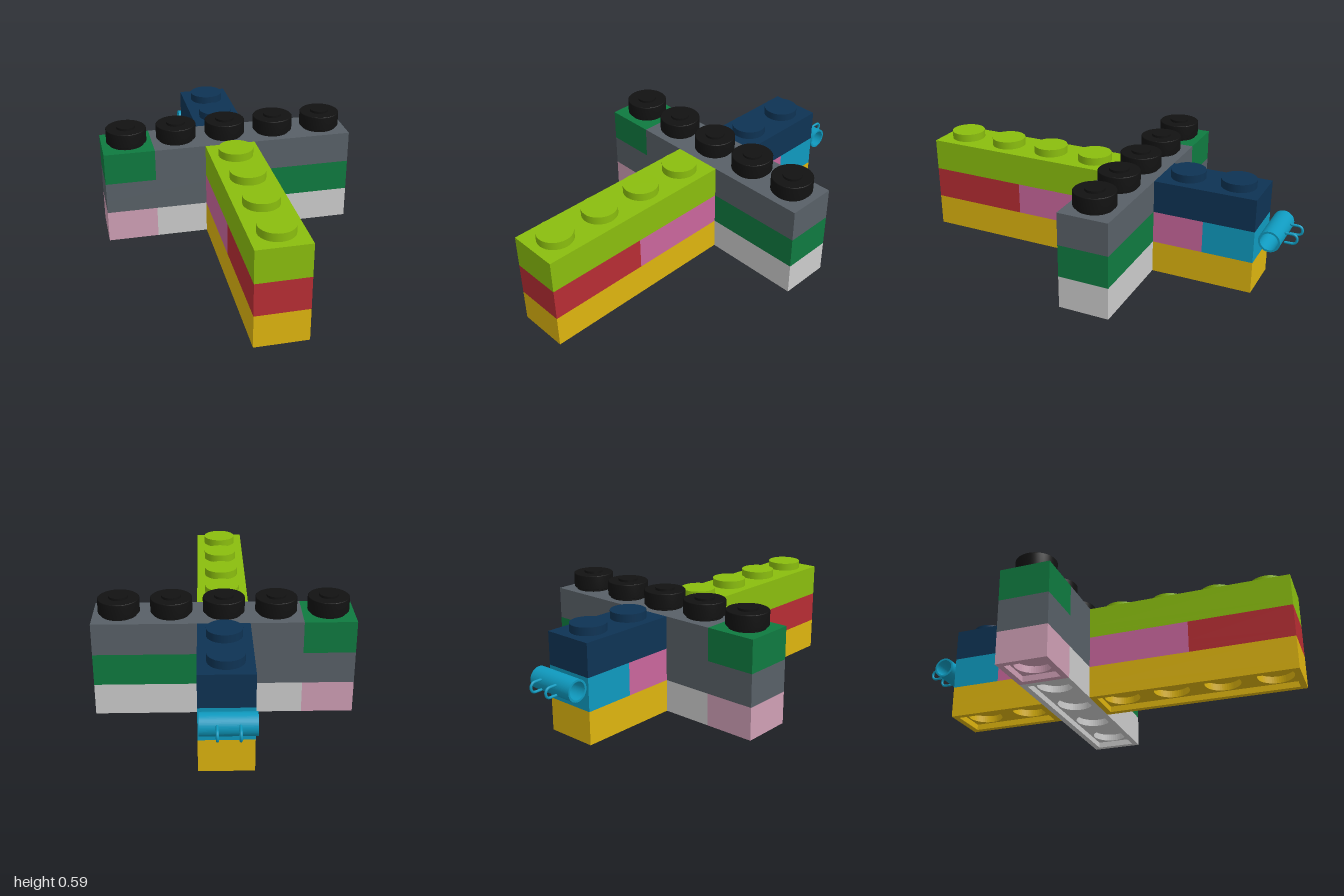
import * as THREE from 'three';

const U = 0.2575;   // stud pitch
const H = 0.164;    // brick height
const CX = 0.003;   // centre of the long arm
const CZ = -0.165;  // centre of the cross arm
const STUD_R = 0.087, STUD_H = 0.04;
const RIM = 0.03, SOCKET = 0.035;

const COLORS = {
  lime: 0x8abd0e, red: 0xb72d33, yellow: 0xddb40f, navy: 0x0e3354, slate: 0x586067, green: 0x0f7a40,
  pink: 0xc9669c, rose: 0xcf9fb5, pale: 0xd0cfcd, cyan: 0x0f9abf, black: 0x121212,
};
const materials = {};
for (const [name, color] of Object.entries(COLORS)) {
  materials[name] = new THREE.MeshStandardMaterial({ color });
}

function add(parent, name, geometry, color, x = 0, y = 0, z = 0) {
  const mesh = new THREE.Mesh(geometry, materials[color]);
  mesh.name = name;
  mesh.position.set(x, y, z);
  parent.add(mesh);
  return mesh;
}

function rect(path, w, d) {
  path.moveTo(-w / 2, -d / 2).lineTo(w / 2, -d / 2).lineTo(w / 2, d / 2).lineTo(-w / 2, d / 2);
  path.closePath();
  return path;
}

// Horizontal slab with cut-outs, standing on y = 0
function slab(w, d, holes, height) {
  const shape = rect(new THREE.Shape(), w, d);
  shape.holes.push(...holes);
  const geometry = new THREE.ExtrudeGeometry(shape, { depth: height, bevelEnabled: false, curveSegments: 24 });
  return geometry.rotateX(-Math.PI / 2);
}

// Brick n studs long: rim, ceiling with round sockets, solid top and studs
function brick(name, n, color) {
  const group = new THREE.Group();
  group.name = name;
  const w = n * U, offsets = [];
  for (let i = 0; i < n; i++) offsets.push((i - (n - 1) / 2) * U);

  const tray = rect(new THREE.Path(), w - 2 * RIM, U - 2 * RIM);
  const sockets = offsets.map(x => new THREE.Path().absarc(x, 0, STUD_R + 0.002, 0, Math.PI * 2, true));
  add(group, 'rim', slab(w, U, [tray], RIM), color);
  add(group, 'socketPlate', slab(w, U, sockets, SOCKET), color, 0, RIM);
  const top = H - RIM - SOCKET;
  add(group, 'body', new THREE.BoxGeometry(w, top, U), color, 0, H - top / 2);
  for (const x of offsets) {
    add(group, 'stud', new THREE.CylinderGeometry(STUD_R, STUD_R, STUD_H, 32), color, x, H + STUD_H / 2);
  }
  return group;
}

export function createModel() {
  const model = new THREE.Group();
  model.name = 'brickCross';

  // Cross arm, five studs wide: [layer, first stud, length, colour]
  const crossArm = [
    [0, 0, 1, 'rose'], [0, 1, 4, 'pale'],
    [1, 0, 3, 'slate'], [1, 3, 2, 'green'],
    [2, 0, 1, 'green'], [2, 1, 4, 'slate'],
  ];
  for (const [layer, start, n, color] of crossArm) {
    const b = brick('crossBrick', n, color);
    b.position.set((start + n / 2 - 2.5) * U, layer * H, CZ);
    model.add(b);
  }

  // Long arm, counted in studs forward from the centre of the cross arm
  const longArm = [
    [0, 0.5, 4, 'yellow'], [1, 0.5, 2, 'pink'], [1, 2.5, 2, 'red'], [2, 0.5, 4, 'lime'],
    [0, -2.5, 2, 'yellow'], [1, -1.5, 1, 'pink'], [1, -2.5, 1, 'cyan'], [2, -2.5, 2, 'navy'],
  ];
  for (const [layer, start, n, color] of longArm) {
    const b = brick(start > 0 ? 'frontBrick' : 'backBrick', n, color);
    b.position.set(CX, layer * H, CZ + (start + n / 2) * U);
    b.rotation.y = Math.PI / 2;
    model.add(b);
  }

  // Round black caps on the cross arm studs, each with a low raised centre
  const capProfile = [[0, 0.012], [0.1, 0.012], [0.103, 0.015], [0.103, 0.083], [0.1, 0.086], [0, 0.086]];
  for (let i = 0; i < 5; i++) {
    const cap = new THREE.Group();
    cap.name = 'cap';
    cap.position.set((i - 2) * U, 3 * H, CZ);
    const points = capProfile.map(([r, y]) => new THREE.Vector2(r, y));
    const disc = add(cap, 'capDisc', new THREE.LatheGeometry(points.slice(1, 5), 40), 'black');
    disc.name = 'capSide';
    add(cap, 'capTop', new THREE.CylinderGeometry(0.1, 0.1, 0.074, 40), 'black', 0, 0.049);
    add(cap, 'capSkirt', new THREE.CylinderGeometry(0.09, 0.09, 0.012, 32), 'black', 0, 0.006);
    add(cap, 'capCentre', new THREE.CylinderGeometry(0.048, 0.048, 0.012, 32), 'black', 0, 0.092);
    model.add(cap);
  }

  // Open hinge tube behind the back arm
  const hinge = new THREE.Group();
  hinge.name = 'hinge';
  hinge.position.set(-0.003, 0.29, -0.878);
  const ring = new THREE.Shape().absarc(0, 0, 0.053, 0, Math.PI * 2, false);
  ring.holes.push(new THREE.Path().absarc(0, 0, 0.043, 0, Math.PI * 2, true));
  const tube = new THREE.ExtrudeGeometry(ring, { depth: 0.256, bevelEnabled: false, curveSegments: 32 });
  tube.translate(0, 0, -0.128).rotateY(Math.PI / 2);
  add(hinge, 'hingeTube', tube, 'cyan');

  // Two U-shaped wire hooks
  const path = new THREE.CurvePath();
  const v = (y, z) => new THREE.Vector3(0, y, z);
  path.add(new THREE.LineCurve3(v(0.024, -0.058), v(0.024, -0.09)));
  path.add(new THREE.CubicBezierCurve3(v(0.024, -0.09), v(0.024, -0.122), v(-0.024, -0.122), v(-0.024, -0.09)));
  path.add(new THREE.LineCurve3(v(-0.024, -0.09), v(-0.024, -0.058)));
  for (const x of [-0.05, 0.05]) {
    add(hinge, 'hook', new THREE.TubeGeometry(path, 32, 0.0065, 10), 'cyan', x);
    for (const y of [0.024, -0.024]) {
      add(hinge, 'hookEnd', new THREE.SphereGeometry(0.0065, 10, 8), 'cyan', x, y, -0.058);
    }
  }
  model.add(hinge);
  return model;
}
